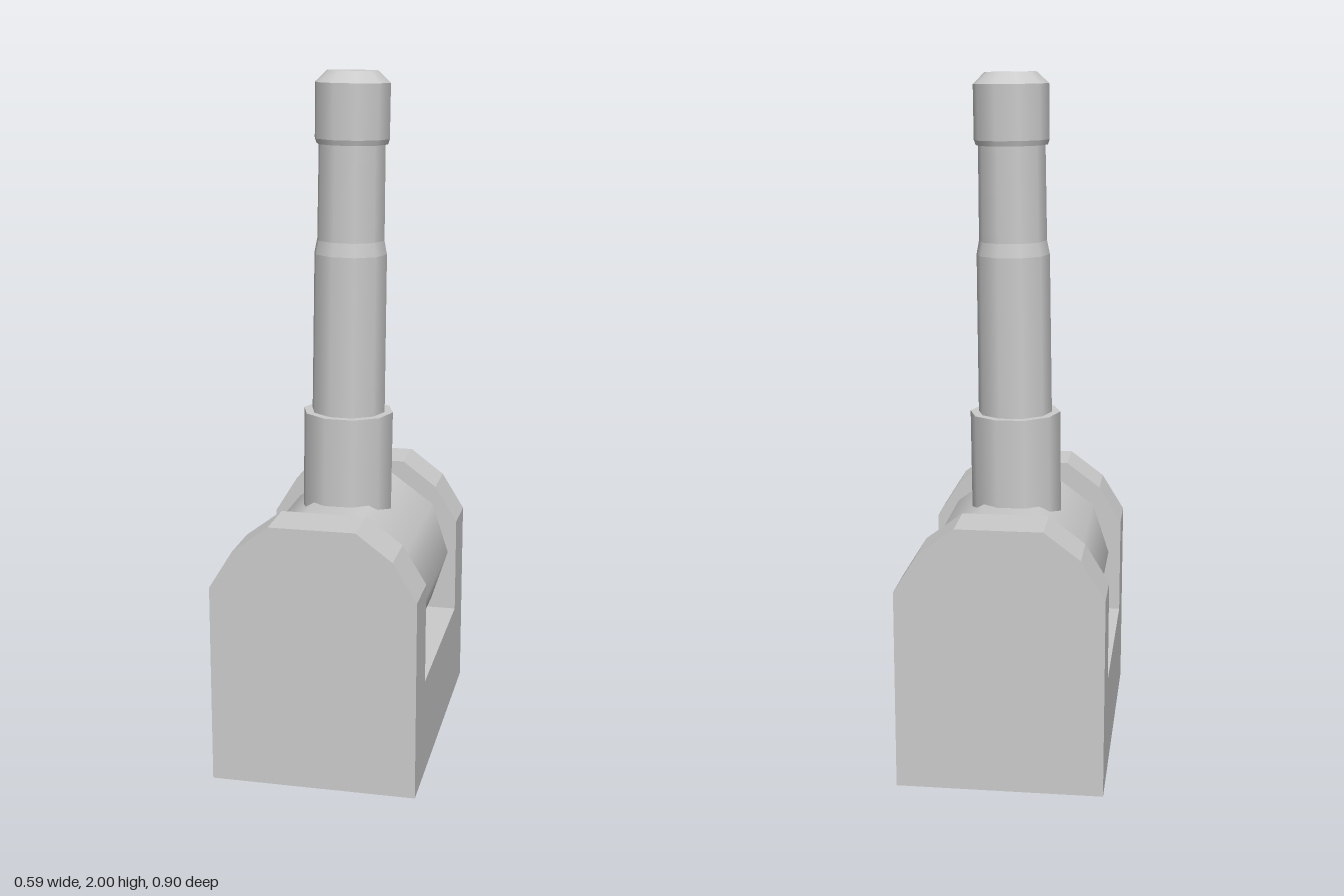
import * as THREE from 'three';

const material = new THREE.MeshStandardMaterial({ color: 0xcccccc });
const flatMaterial = new THREE.MeshStandardMaterial({ color: 0xcccccc, flatShading: true });
const SIDES = 10;

// Ten-sided smooth cylinder with corners on +x and -x
function decagon(rTop, rBottom, height) {
  return new THREE.CylinderGeometry(rTop, rBottom, height, SIDES, 1, false, Math.PI / SIDES);
}

// Profile in x/y, extruded from z0 to z1
function slab(name, points, z0, z1) {
  const shape = new THREE.Shape(points.map(([x, y]) => new THREE.Vector2(x, y)));
  const geometry = new THREE.ExtrudeGeometry(shape, { depth: z1 - z0, bevelEnabled: false });
  geometry.translate(0, 0, z0);
  const mesh = new THREE.Mesh(geometry, flatMaterial);
  mesh.name = name;
  return mesh;
}

export function createModel() {
  const model = new THREE.Group();
  model.name = 'lever';

  // Base block with two chamfered cheeks
  const w = 0.297, floor = 0.29, zOut = 0.45, zIn = 0.295;
  const cheek = [[-w, 0], [w, 0], [w, 0.585], [0.228, 0.697], [0.124, 0.775],
    [-0.124, 0.775], [-0.228, 0.697], [-w, 0.585]];
  const base = new THREE.Group();
  base.name = 'base';
  base.add(
    slab('frontCheek', cheek, zIn, zOut),
    slab('backCheek', cheek, -zOut, -zIn),
    slab('baseFloor', [[-w, 0], [w, 0], [w, floor], [-w, floor]], -zIn, zIn)
  );
  model.add(base);

  // Pivot drum lying between the cheeks
  const drum = new THREE.Mesh(decagon(0.268, 0.268, 0.538), material);
  drum.name = 'pivotDrum';
  drum.rotation.x = Math.PI / 2;
  drum.position.set(0.007, 0.49, 0);
  model.add(drum);

  // Slightly tilted handle: [name, y0, y1, bottom radius, top radius]
  const pivotY = 0.49;
  const handle = new THREE.Group();
  handle.name = 'handle';
  handle.position.set(0.001, pivotY, 0);
  handle.rotation.z = -0.013;
  const sections = [
    ['collar', 0.6, 1.01, 0.135, 0.135],
    ['lowerShaft', 1.01, 1.48, 0.11, 0.108],
    ['shaftTaper', 1.48, 1.52, 0.108, 0.1],
    ['upperShaft', 1.52, 1.8, 0.1, 0.098],
    ['capLip', 1.795, 1.81, 0.105, 0.11],
    ['cap', 1.81, 1.967, 0.11, 0.11],
    ['capBevel', 1.967, 2.0, 0.11, 0.075],
  ];
  for (const [name, y0, y1, r0, r1] of sections) {
    const section = new THREE.Mesh(decagon(r1, r0, y1 - y0), material);
    section.name = name;
    section.position.y = (y0 + y1) / 2 - pivotY;
    handle.add(section);
  }
  model.add(handle);

  return model;
}
